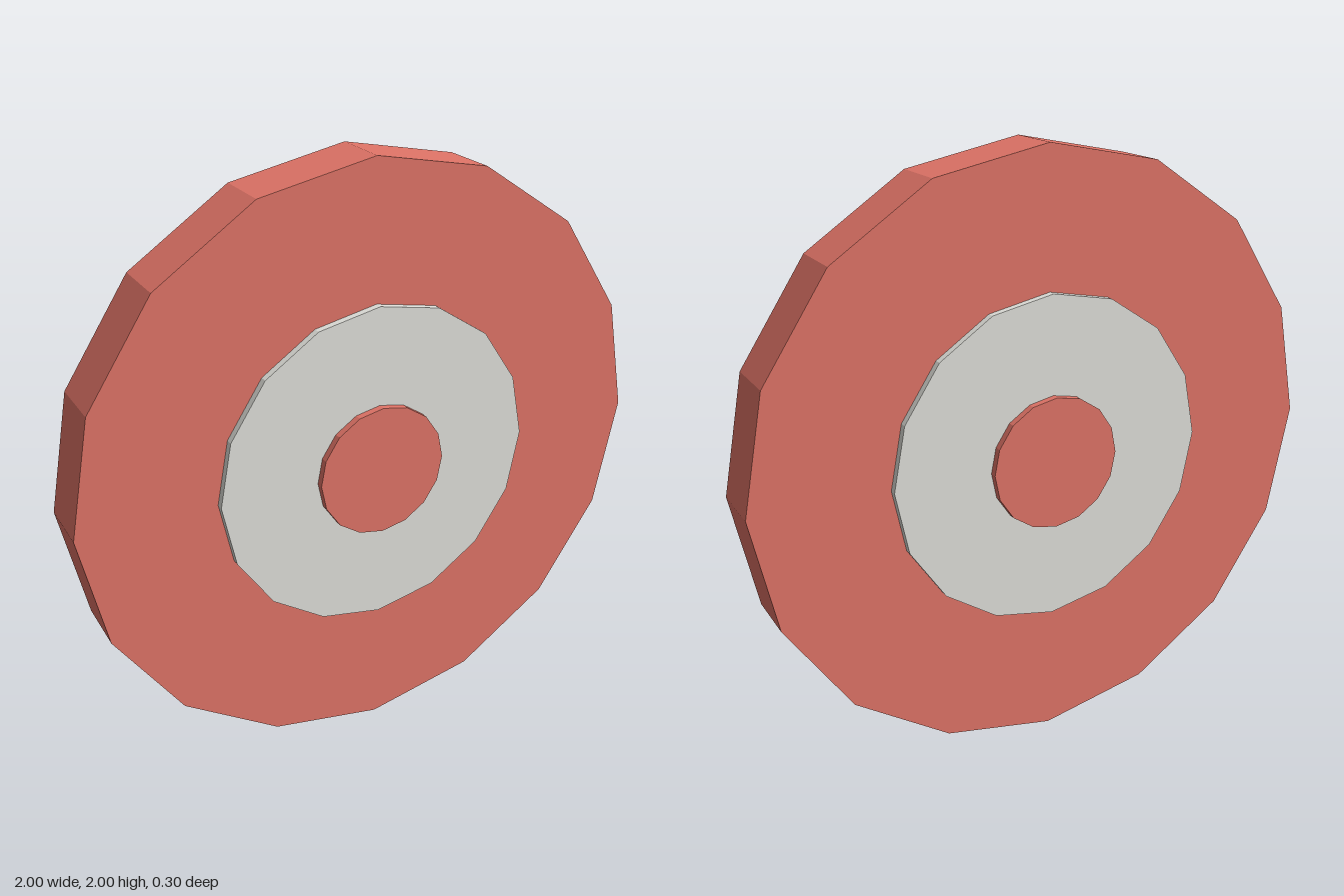
import * as THREE from 'three';

export function createModel() {
  const red = new THREE.MeshStandardMaterial({ color: 0xe07467, flatShading: true });
  red.name = 'red';
  const white = new THREE.MeshStandardMaterial({ color: 0xe0e0da, flatShading: true });
  white.name = 'white';

  const group = new THREE.Group();
  group.name = 'target';

  // Sixteen-sided disc facing the front, with a corner at the top
  function disc(name, radius, depth, material) {
    const geometry = new THREE.CylinderGeometry(radius, radius, depth, 16);
    geometry.rotateX(Math.PI / 2);
    const mesh = new THREE.Mesh(geometry, material);
    mesh.name = name;
    mesh.position.y = 1;
    group.add(mesh);
  }

  // Concentric discs, each standing proud of the larger one on both sides
  disc('outerDisc', 1, 0.2, red);
  disc('middleRing', 0.55, 0.25, white);
  disc('bullseye', 0.222, 0.3, red);

  return group;
}
